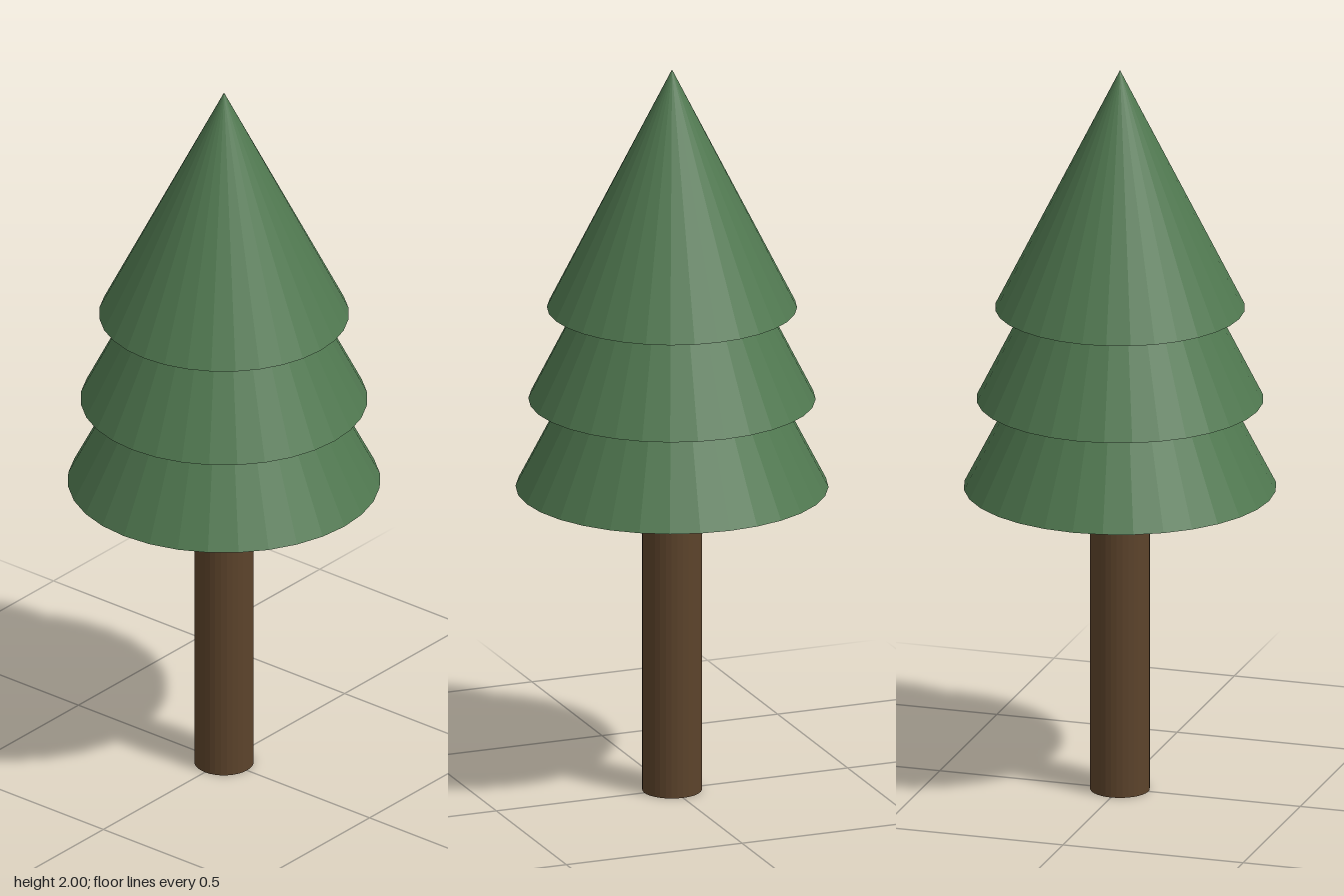
import * as THREE from 'three';

const SIDES = 32;

// Turns an [r, y] profile into a faceted mesh
function turned(name, profile, material) {
  const points = profile.map(([r, y]) => new THREE.Vector2(r, y));
  const mesh = new THREE.Mesh(new THREE.LatheGeometry(points, SIDES), material);
  mesh.name = name;
  return mesh;
}

export function createModel() {
  const tree = new THREE.Group();
  tree.name = 'pineTree';
  const leaf = new THREE.MeshStandardMaterial({ color: 0x507850, flatShading: true });
  const bark = new THREE.MeshStandardMaterial({ color: 0x5c432b, flatShading: true });

  // Trunk, reaching up to the ceiling of the hollow
  const ceiling = 1.115;
  const trunk = new THREE.Mesh(new THREE.CylinderGeometry(0.079, 0.079, ceiling, SIDES), bark);
  trunk.name = 'trunk';
  trunk.position.y = ceiling / 2;
  tree.add(trunk);

  // Hollow underside: ceiling, sloping inner wall and bottom rim
  tree.add(turned('hollowUnderside', [[0, ceiling], [0.2, ceiling], [0.353, 0.842], [0.414, 0.842]], leaf));

  // Skirts: sloping outside, then the overhanging rim of the tier above
  tree.add(turned('lowerTier', [[0.414, 0.842], [0.289, 1.086], [0.38, 1.086]], leaf));
  tree.add(turned('middleTier', [[0.38, 1.086], [0.252, 1.34], [0.331, 1.34]], leaf));
  tree.add(turned('topTier', [[0.331, 1.34], [0, 2]], leaf));

  return tree;
}
